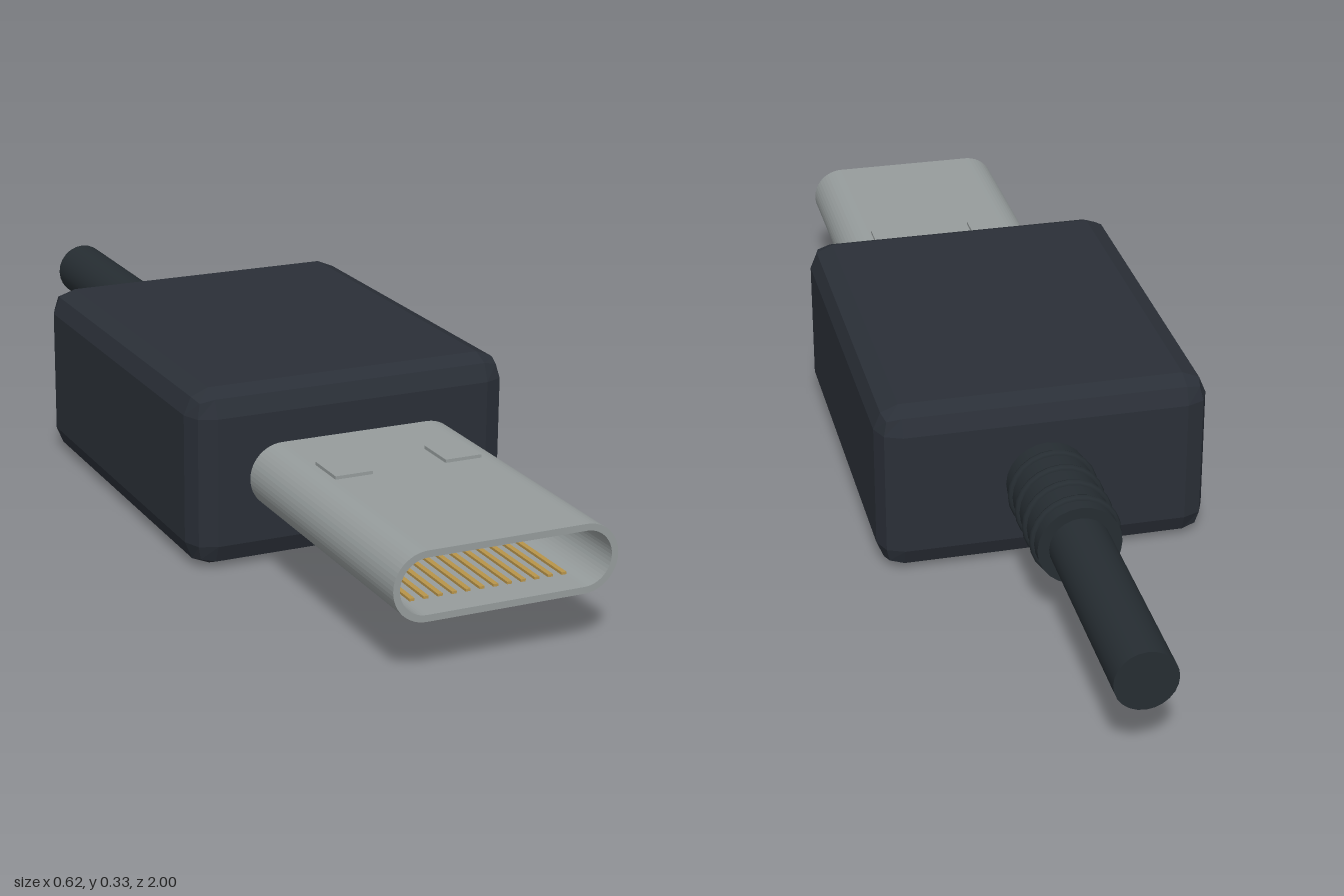
import * as THREE from 'three';
import { RoundedBoxGeometry } from 'three/addons/geometries/RoundedBoxGeometry.js';

const CY = 0.165; // height of the long axis

const material = (color, flatShading = false) => new THREE.MeshStandardMaterial({ color, flatShading });

// Stadium outline: half width w, end radius r
function stadium(target, w, r) {
  target.absarc(w - r, 0, r, -Math.PI / 2, Math.PI / 2, false);
  target.absarc(r - w, 0, r, Math.PI / 2, Math.PI * 1.5, false);
  target.closePath();
  return target;
}

export function createModel() {
  const group = new THREE.Group();
  const housing = material(0x2a2f37, true);
  const rubber = material(0x262d32);
  const metal = material(0x969c9c);
  const gold = material(0xb8944a);

  const add = (name, geometry, mat, x, y, z, parent = group) => {
    const mesh = new THREE.Mesh(geometry, mat);
    mesh.name = name;
    mesh.position.set(x, y, z);
    parent.add(mesh);
    return mesh;
  };

  // Chamfered housing
  add('housing', new RoundedBoxGeometry(0.624, 0.33, 0.78, 1, 0.046), housing, 0, CY, 0.047);

  // Hollow metal plug shell
  const outline = stadium(new THREE.Shape(), 0.205, 0.061);
  outline.holes.push(stadium(new THREE.Path(), 0.193, 0.049));
  const shell = new THREE.ExtrudeGeometry(outline, { depth: 0.58, bevelEnabled: false, curveSegments: 12 });
  add('plugShell', shell, metal, 0, CY, 0.42);

  // Two raised latch tabs on top of the shell
  const tab = new THREE.BoxGeometry(0.07, 0.012, 0.08);
  for (const s of [-1, 1]) add('latchTab', tab, metal, s * 0.105, CY + 0.061, 0.61);

  // Two rows of twelve contacts inside the shell
  const contacts = new THREE.Group();
  contacts.name = 'contacts';
  group.add(contacts);
  const pin = new THREE.BoxGeometry(0.009, 0.005, 0.5);
  for (const s of [-1, 1]) {
    for (let i = 0; i < 12; i++) {
      add('contact', pin, gold, (i - 5.5) * 0.0255, CY + s * 0.047, 0.69, contacts);
    }
  }

  // Strain relief sleeve with four ridges
  const sleeve = new THREE.CylinderGeometry(0.077, 0.077, 0.26, 24).rotateX(Math.PI / 2);
  add('strainRelief', sleeve, rubber, 0, CY, -0.45);
  const ridge = new THREE.TorusGeometry(0.076, 0.008, 8, 24);
  for (let i = 0; i < 4; i++) add('reliefRidge', ridge, rubber, 0, CY, -0.385 - i * 0.054);

  // Cable
  const cable = new THREE.CylinderGeometry(0.056, 0.056, 0.45, 24).rotateX(Math.PI / 2);
  add('cable', cable, rubber, 0, CY, -0.775);

  return group;
}
